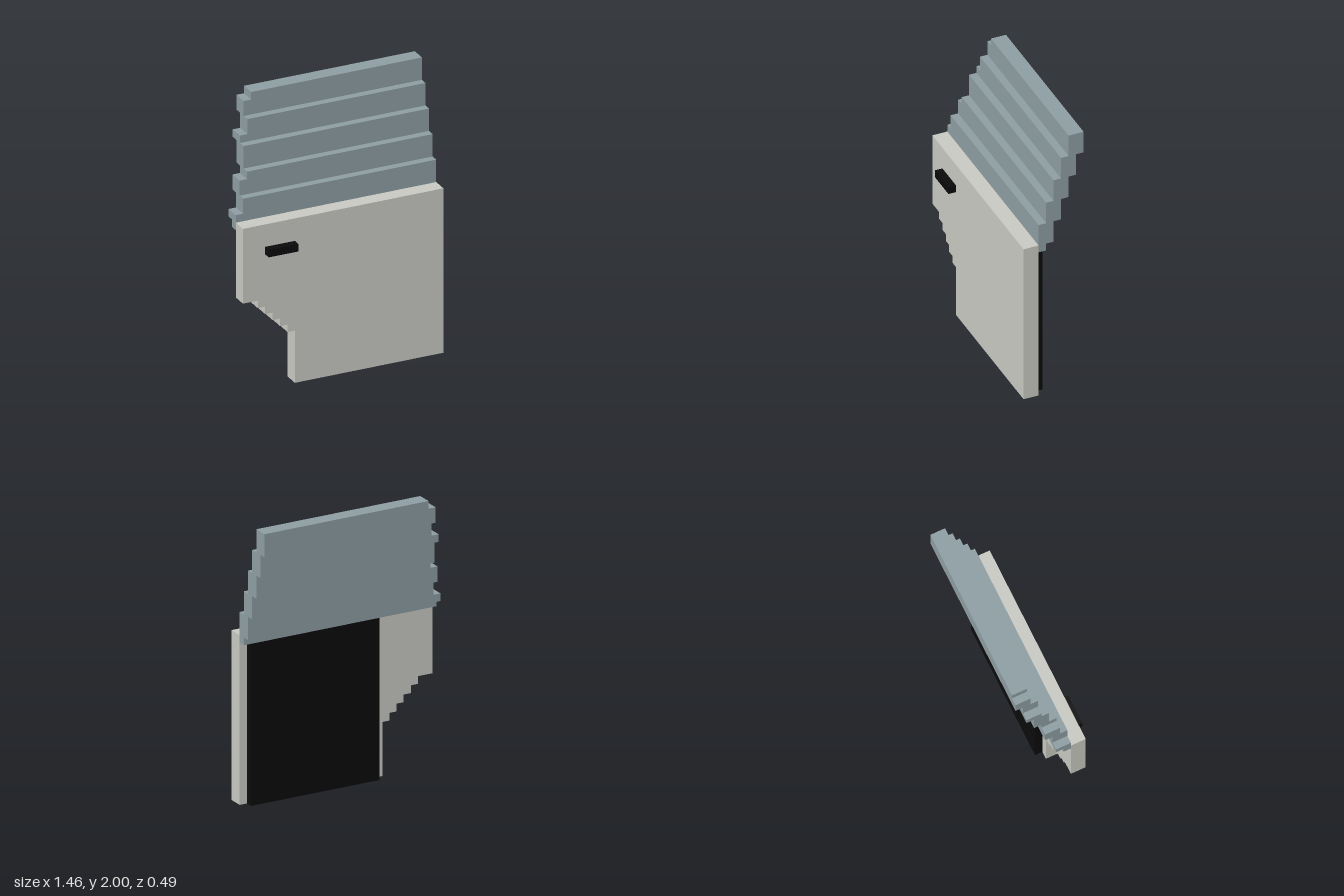
import * as THREE from 'three';

// Everything sits on a block grid: 27 wide, 37 tall, 9 deep
const U = 2 / 37;
const W = 27, D = 9;

const mat = (name, color) => {
  const m = new THREE.MeshStandardMaterial({ color });
  m.name = name;
  return m;
};

// Extrudes an outline of grid points between two depths counted from the front
function slab(name, points, front, back, material) {
  const shape = new THREE.Shape(points.map(([x, y]) => new THREE.Vector2((x - W / 2) * U, y * U)));
  const geo = new THREE.ExtrudeGeometry(shape, { depth: (back - front) * U, bevelEnabled: false });
  geo.translate(0, 0, (D / 2 - back) * U);
  const mesh = new THREE.Mesh(geo, material);
  mesh.name = name;
  return mesh;
}

const rect = (x0, y0, x1, y1) => [[x0, y0], [x1, y0], [x1, y1], [x0, y1]];

// Stepped slanted edge of the window: [start height, edge x]
const EDGE = [[21, 0], [23, 1], [27, 2], [32, 3], [36, 4], [37, 4]];

// Outline of one window layer, cut to a height range
function windowOutline(y0, y1) {
  const pts = [[W, y0], [W, y1]];
  for (let i = EDGE.length - 2; i >= 0; i--) {
    const lo = Math.max(y0, EDGE[i][0]);
    const hi = Math.min(y1, EDGE[i + 1][0]);
    if (lo < hi) pts.push([EDGE[i][1], hi], [EDGE[i][1], lo]);
  }
  return pts;
}

export function createModel() {
  const paint = mat('light grey paint', 0xc8c8c2);
  const glass = mat('blue grey glass', 0x8c9da1);
  const black = mat('black trim', 0x0a0a0a);
  const model = new THREE.Group();
  model.name = 'vehicleDoor';

  // Outer panel with the stepped wheel arch cutout
  const panel = [[W, 0], [W, 22], [0, 22], [0, 12], [2, 12]];
  for (let i = 2; i < 7; i++) panel.push([i, 13 - i], [i + 1, 13 - i]);
  panel.push([7, 7], [7, 0]);
  // Arch steps drop one block each until the straight lower edge
  model.add(slab('doorPanel', panel, 1, 3, paint));

  // Inner lining and handle
  model.add(slab('innerLining', rect(8, 0, 26, 21), 3, 4, black));
  model.add(slab('doorHandle', rect(3, 18, 7, 19), 0, 1, black));

  // Window leaning backwards in overlapping layers
  const windowGroup = new THREE.Group();
  windowGroup.name = 'window';
  [[21, 25], [22, 28], [25, 31], [28, 34], [31, 37], [34, 37]].forEach(([y0, y1], i) => {
    windowGroup.add(slab(`windowLayer${i + 1}`, windowOutline(y0, y1), 3 + i, 4 + i, glass));
  });
  model.add(windowGroup);
  return model;
}
